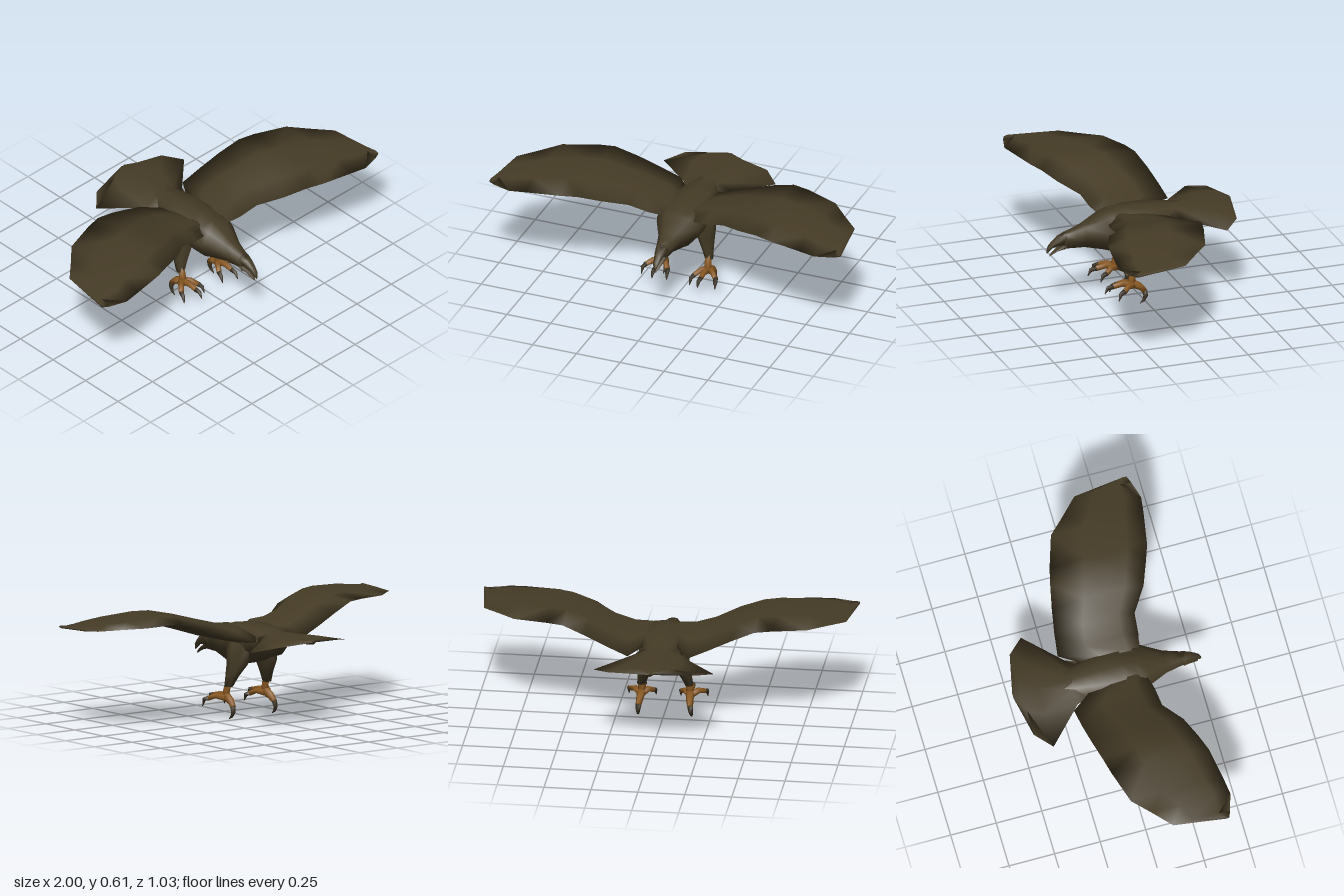
import * as THREE from 'three';

const mat = (name, color) => {
  const m = new THREE.MeshStandardMaterial({ color });
  m.name = name;
  return m;
};

// Skin a list of closed rings ([x, y, z] points), with both ends capped
function loft(rings) {
  const n = rings[0].length, pos = rings.flat(2), idx = [];
  for (let i = 0; i < rings.length - 1; i++) {
    for (let j = 0; j < n; j++) {
      const a = i * n + j, b = i * n + (j + 1) % n;
      idx.push(a, b, b + n, a, b + n, a + n);
    }
  }
  const last = (rings.length - 1) * n;
  for (let j = 1; j < n - 1; j++) idx.push(0, j + 1, j, last, last + j, last + j + 1);
  // turn the faces outward if the enclosed volume is negative
  let volume = 0;
  const v = (i) => new THREE.Vector3().fromArray(pos, i * 3);
  for (let i = 0; i < idx.length; i += 3) volume += v(idx[i]).dot(v(idx[i + 1]).cross(v(idx[i + 2])));
  if (volume < 0) idx.reverse();
  const g = new THREE.BufferGeometry();
  g.setAttribute('position', new THREE.Float32BufferAttribute(pos, 3));
  g.setIndex(idx);
  g.computeVertexNormals();
  return g;
}

// Body-like cross-section: broad back, narrow keel
function bodyRing([z, top, bottom, w]) {
  const h = top - bottom;
  const half = [[0.6, 0.97], [1, 0.68], [0.82, 0.36], [0.36, 0.03]];
  const right = half.map(([a, b]) => [a * w, bottom + b * h, z]);
  const left = half.map(([a, b]) => [-a * w, bottom + b * h, z]).reverse();
  return [[0, top, z], ...right, [0, bottom, z], ...left];
}

// Tapered limb along points [x, y, z, radius]
function limb(points, sides = 6) {
  const p = points.map((q) => new THREE.Vector3(q[0], q[1], q[2]));
  return loft(p.map((c, i) => {
    const t = p[Math.min(i + 1, p.length - 1)].clone().sub(p[Math.max(i - 1, 0)]).normalize();
    const up = t.clone().cross(new THREE.Vector3(1, 0, 0)).normalize();
    const side = up.clone().cross(t);
    return Array.from({ length: sides }, (_, k) => {
      const a = k / sides * Math.PI * 2, r = points[i][3];
      return c.clone().addScaledVector(up, Math.sin(a) * r).addScaledVector(side, Math.cos(a) * r).toArray();
    });
  }));
}

export function createModel() {
  const feather = mat('dark brown feather', 0x453b26);
  const skin = mat('orange brown skin', 0x8a5922);
  const horn = mat('dark claw horn', 0x3a3122);

  const bird = new THREE.Group();
  bird.name = 'bird';
  const add = (name, geometry, material) => {
    const m = new THREE.Mesh(geometry, material);
    m.name = name;
    bird.add(m);
  };

  // Head, trunk and rump: z, top, bottom, half width
  add('body', loft([
    [0.42, 0.405, 0.32, 0.034], [0.36, 0.42, 0.318, 0.05], [0.31, 0.437, 0.317, 0.064],
    [0.21, 0.48, 0.295, 0.115], [0.165, 0.495, 0.28, 0.13], [0.08, 0.508, 0.28, 0.135],
    [-0.05, 0.506, 0.31, 0.128], [-0.11, 0.5, 0.335, 0.112], [-0.2, 0.49, 0.36, 0.085],
    [-0.26, 0.486, 0.42, 0.06], [-0.34, 0.486, 0.475, 0.03],
  ].map(bodyRing)), feather);

  // Open hooked beak
  add('upperBeak', loft([
    [0.41, 0.408, 0.343, 0.036], [0.45, 0.392, 0.338, 0.027], [0.48, 0.368, 0.332, 0.019],
    [0.503, 0.345, 0.312, 0.014], [0.513, 0.322, 0.302, 0.006],
  ].map(bodyRing)), feather);
  add('lowerBeak', loft([
    [0.41, 0.35, 0.318, 0.033], [0.45, 0.326, 0.31, 0.021],
    [0.48, 0.306, 0.295, 0.013], [0.497, 0.29, 0.285, 0.004],
  ].map(bodyRing)), feather);

  // Fanned tail, drooping at the sides: z, half width, centre y, edge y
  add('tail', loft([
    [-0.1, 0.09, 0.485, 0.45], [-0.2, 0.13, 0.492, 0.446], [-0.385, 0.32, 0.491, 0.434],
    [-0.47, 0.235, 0.487, 0.458], [-0.518, 0.015, 0.473, 0.472],
  ].map(([z, w, yc, ye]) => [
    [-w, ye, z], [-w * 0.45, (yc + ye) / 2 + 0.012, z], [0, yc, z], [w * 0.45, (yc + ye) / 2 + 0.012, z],
    [w, ye, z], [w * 0.45, (yc + ye) / 2, z], [0, yc - 0.012, z], [-w * 0.45, (yc + ye) / 2, z],
  ])), feather);

  // Wing stations: x, leading z, trailing z, leading y, top y, trailing y, bottom y
  const stations = [
    [0.07, 0.195, -0.1, 0.455, 0.505, 0.47, 0.42], [0.16, 0.215, -0.228, 0.468, 0.512, 0.45, 0.425],
    [0.27, 0.225, -0.215, 0.492, 0.542, 0.495, 0.455], [0.39, 0.308, -0.195, 0.53, 0.577, 0.545, 0.497],
    [0.51, 0.355, -0.17, 0.553, 0.603, 0.588, 0.535], [0.6, 0.387, -0.148, 0.557, 0.604, 0.59, 0.55],
    [0.78, 0.418, -0.09, 0.553, 0.59, 0.58, 0.552], [0.87, 0.43, 0, 0.548, 0.575, 0.57, 0.546],
    [0.965, 0.402, 0.09, 0.548, 0.562, 0.56, 0.546], [1, 0.388, 0.36, 0.552, 0.556, 0.555, 0.55],
  ];
  // Toes for the left foot: skin points, then the claw's bend and tip
  const toes = [
    ['middleToe', [[0.13, 0.115, 0.075, 0.02], [0.13, 0.128, 0.135, 0.016], [0.13, 0.118, 0.185, 0.014]],
      [[0.13, 0.114, 0.215, 0.011], [0.13, 0.082, 0.232, 0.002]]],
    ['outerToe', [[0.135, 0.115, 0.075, 0.02], [0.17, 0.124, 0.115, 0.016], [0.198, 0.11, 0.145, 0.014]],
      [[0.208, 0.102, 0.17, 0.011], [0.21, 0.065, 0.182, 0.002]]],
    ['innerToe', [[0.125, 0.115, 0.075, 0.02], [0.098, 0.122, 0.115, 0.016], [0.076, 0.105, 0.145, 0.014]],
      [[0.068, 0.096, 0.17, 0.011], [0.066, 0.062, 0.183, 0.002]]],
    ['backToe', [[0.13, 0.12, 0.075, 0.024], [0.133, 0.1, 0.035, 0.02], [0.137, 0.075, 0.012, 0.016]],
      [[0.14, 0.045, 0.006, 0.012], [0.142, 0.022, 0.018, 0.008], [0.143, 0.007, 0.038, 0.002]]],
  ];

  for (const [side, s] of [['left', 1], ['right', -1]]) {
    const flip = (pts) => pts.map(([x, ...rest]) => [s * x, ...rest]);

    add(side + 'Wing', loft(stations.map(([x, zl, zt, yl, top, yt, bottom]) => {
      const at = (f) => zl + (zt - zl) * f;
      const mix = (y) => y * 0.5 + yt * 0.5;
      return flip([
        [x, yl, zl], [x, top, at(0.2)], [x, mix(top) + 0.006, at(0.65)],
        [x, yt, zt], [x, mix(bottom) - 0.006, at(0.65)], [x, bottom, at(0.2)],
      ]);
    })), feather);

    // Feathered thigh: y, centre x, centre z, half width, half depth
    add(side + 'Thigh', loft([
      [0.42, 0.08, 0.02, 0.05, 0.1], [0.3, 0.095, 0.025, 0.044, 0.075],
      [0.23, 0.114, 0.048, 0.031, 0.042], [0.175, 0.127, 0.062, 0.023, 0.023],
    ].map(([y, x, z, rx, rz]) => Array.from({ length: 8 }, (_, k) => {
      const a = k / 8 * Math.PI * 2;
      return [s * (x + Math.cos(a) * rx), y, z + Math.sin(a) * rz];
    }))), feather);

    // Bare shank and clawed foot
    add(side + 'Shank', limb(flip([
      [0.125, 0.2, 0.064, 0.019], [0.128, 0.15, 0.08, 0.019], [0.13, 0.105, 0.083, 0.024],
    ])), skin);
    for (const [name, toe, claw] of toes) {
      add(`${side} ${name}`, limb(flip(toe)), skin);
      add(`${side} ${name} claw`, limb(flip([toe[2], ...claw])), horn);
    }
  }

  // Slight banking roll
  bird.rotation.z = -0.014;
  bird.position.x = -0.008;
  const model = new THREE.Group();
  model.add(bird);
  return model;
}
